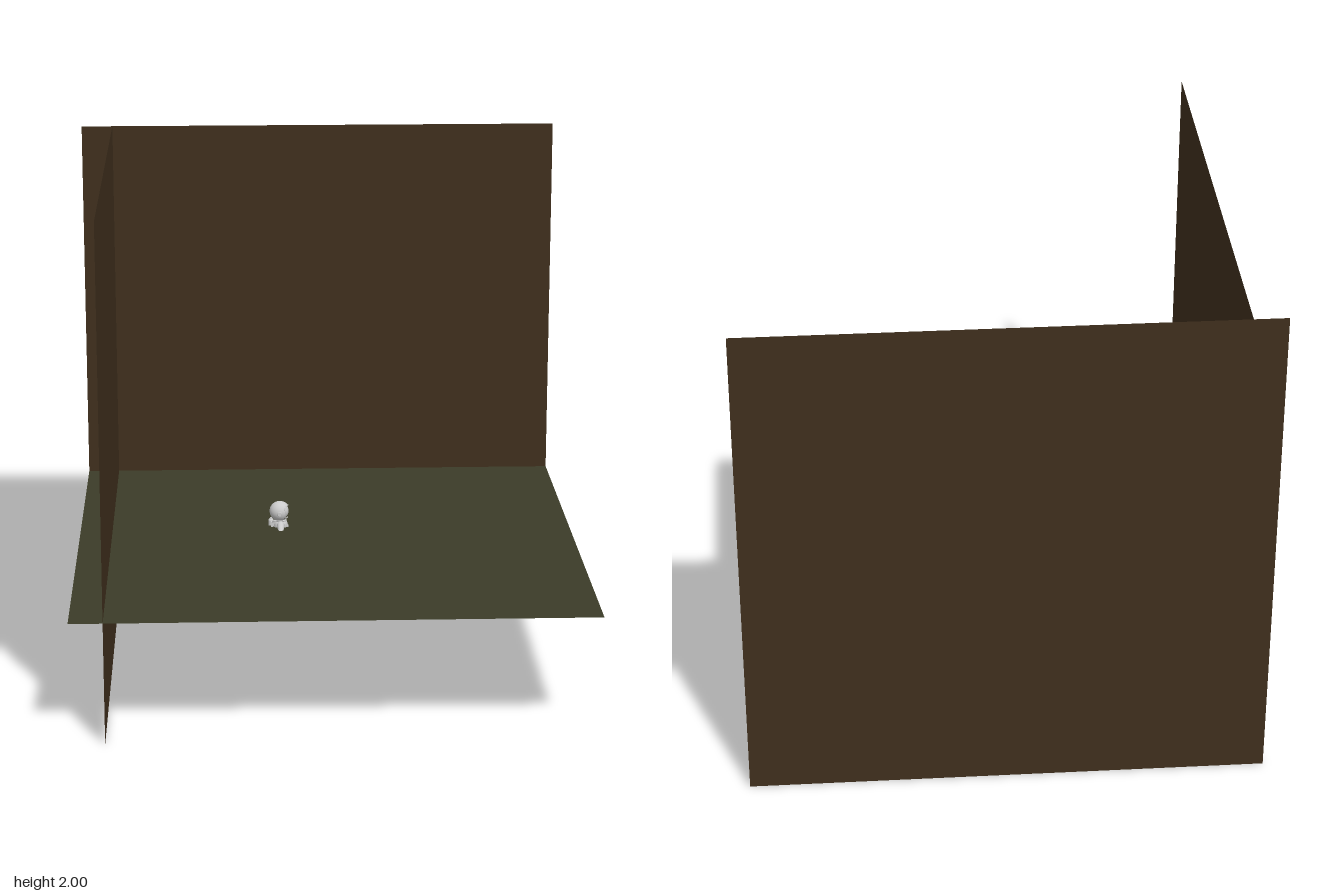
import * as THREE from 'three';

const grey = new THREE.MeshStandardMaterial({ color: 0xcccccc, side: THREE.DoubleSide });
const brown = new THREE.MeshStandardMaterial({ color: 0x3f2f1d, side: THREE.DoubleSide });
const green = new THREE.MeshStandardMaterial({ color: 0x3b3c28, side: THREE.DoubleSide });

function add(parent, name, geometry, x = 0, y = 0, z = 0, material = grey) {
  const mesh = new THREE.Mesh(geometry, material);
  mesh.name = name;
  mesh.position.set(x, y, z);
  parent.add(mesh);
  return mesh;
}

// Half of a turned shape, kept on the +z side and open along the cut
const halfLathe = (points) => new THREE.LatheGeometry(
  points.map(([r, y]) => new THREE.Vector2(r, y)), 20, -Math.PI / 2, Math.PI);

// Full turned shape
const lathe = (points) => new THREE.LatheGeometry(
  points.map(([r, y]) => new THREE.Vector2(r, y)), 20);

// Horizontal half ring on the +z side
const halfRing = (radius, tube) =>
  new THREE.TorusGeometry(radius, tube, 10, 24, Math.PI).rotateX(Math.PI / 2);

// Half of a small suited figure facing +x, cut along its middle plane
function createFigure() {
  const figure = new THREE.Group();
  figure.name = 'halfFigure';
  const PI = Math.PI;

  // Helmet shell with a face opening towards +x
  const helmet = new THREE.Group();
  helmet.name = 'helmet';
  helmet.position.set(0, 0.157, 0);
  figure.add(helmet);
  const R = 0.042, open = 0.68 * PI, top = 0.3 * PI, bottom = 0.72 * PI;
  add(helmet, 'helmetBack', new THREE.SphereGeometry(R, 18, 20, 0, open));
  add(helmet, 'helmetBrow', new THREE.SphereGeometry(R, 10, 8, open, PI - open, 0, top));
  add(helmet, 'helmetChin', new THREE.SphereGeometry(R, 10, 8, open, PI - open, bottom, PI - bottom));
  add(helmet, 'visor', new THREE.SphereGeometry(0.036, 20, 16, PI / 2, PI / 2));

  // Rim along the edge of the face opening
  const onHelmet = (phi, theta) => new THREE.Vector3(
    -R * Math.cos(phi) * Math.sin(theta), R * Math.cos(theta), R * Math.sin(phi) * Math.sin(theta));
  const rim = new THREE.CatmullRomCurve3([
    onHelmet(PI, top), onHelmet(0.8 * PI, top), onHelmet(open, 0.37 * PI), onHelmet(open, PI / 2),
    onHelmet(open, 0.65 * PI), onHelmet(0.8 * PI, bottom), onHelmet(PI, bottom)]);
  add(helmet, 'visorRim', new THREE.TubeGeometry(rim, 32, 0.002, 8));
  const ear = add(helmet, 'earCap', new THREE.CylinderGeometry(0.009, 0.011, 0.006, 16), -0.002, -0.003, 0.041);
  ear.rotation.x = PI / 2;

  // Body with collar, belt and chest panel
  add(figure, 'torso', halfLathe([[0.018, 0.119], [0.026, 0.113], [0.03, 0.1], [0.029, 0.08],
    [0.026, 0.065], [0.027, 0.055], [0.024, 0.045], [0.012, 0.038], [0, 0.037]]), 0.003);
  add(figure, 'collar', halfRing(0.021, 0.004), 0.003, 0.118);
  add(figure, 'belt', halfRing(0.027, 0.003), 0.003, 0.06);
  add(figure, 'chestPanel', new THREE.BoxGeometry(0.01, 0.022, 0.014), 0.03, 0.087, 0.008);

  // Arm reaching out to the side and down, with cuff and mitten
  const arm = new THREE.Group();
  arm.name = 'arm';
  arm.position.set(0.003, 0.104, 0.024);
  arm.rotation.x = PI / 2 + 0.5;
  figure.add(arm);
  add(arm, 'sleeve', lathe([[0, -0.014], [0.012, -0.009], [0.015, 0], [0.014, 0.015], [0.012, 0.03],
    [0.013, 0.04], [0.01, 0.056], [0.009, 0.064], [0, 0.064]]));
  const cuff = add(arm, 'cuff', new THREE.TorusGeometry(0.009, 0.0025, 8, 20), 0, 0.064, 0);
  cuff.rotation.x = PI / 2;
  add(arm, 'mitten', new THREE.SphereGeometry(0.01, 16, 12), 0, 0.077, 0).scale.set(0.9, 1.5, 0.55);
  const thumb = add(arm, 'thumb', new THREE.CapsuleGeometry(0.003, 0.009, 4, 10), 0.008, 0.074, 0);
  thumb.rotation.z = -0.5;

  // Leg and boot
  add(figure, 'leg', lathe([[0.011, 0.01], [0.011, 0.018], [0.013, 0.028], [0.014, 0.038],
    [0.016, 0.05], [0.014, 0.06]]), 0.004, 0, 0.016);
  add(figure, 'bootCuff', new THREE.CylinderGeometry(0.013, 0.013, 0.005, 20), 0.004, 0.017, 0.016);
  const toe = add(figure, 'boot', new THREE.SphereGeometry(1, 20, 8, 0, 2 * PI, 0, PI / 2), 0.011, 0.003, 0.016);
  toe.scale.set(0.025, 0.014, 0.014);
  const sole = add(figure, 'sole', new THREE.CylinderGeometry(1, 1, 0.004, 20), 0.011, 0.002, 0.016);
  sole.scale.set(0.026, 1, 0.015);

  // Back unit with upright tank
  add(figure, 'backUnit', new THREE.BoxGeometry(0.014, 0.048, 0.012), -0.03, 0.088, 0.006);
  add(figure, 'tank', new THREE.CapsuleGeometry(0.011, 0.042, 8, 20), -0.036, 0.09, -0.013);
  const valve = add(figure, 'tankValve', new THREE.CylinderGeometry(0.004, 0.004, 0.006, 12), -0.036, 0.122, -0.013);
  valve.name = 'tankValve';
  const hose = new THREE.CatmullRomCurve3([
    new THREE.Vector3(-0.03, 0.106, 0.008), new THREE.Vector3(-0.026, 0.118, 0.014),
    new THREE.Vector3(-0.014, 0.118, 0.018)]);
  add(figure, 'hose', new THREE.TubeGeometry(hose, 12, 0.003, 8));
  return figure;
}

export function createModel() {
  const model = new THREE.Group();
  model.name = 'figureWithBackdrops';

  // Three thin crossing panels, two units square
  const panel = () => new THREE.PlaneGeometry(2, 2);
  add(model, 'backPanel', panel(), 0, 1, -1, brown);
  add(model, 'sidePanel', panel().rotateY(Math.PI / 2), -0.87, 1, 0, brown);
  add(model, 'floorPanel', panel().rotateX(-Math.PI / 2), 0, 0.48, 0, green);

  const figure = createFigure();
  figure.position.set(-0.186, 0.388, -0.177);
  model.add(figure);
  return model;
}
